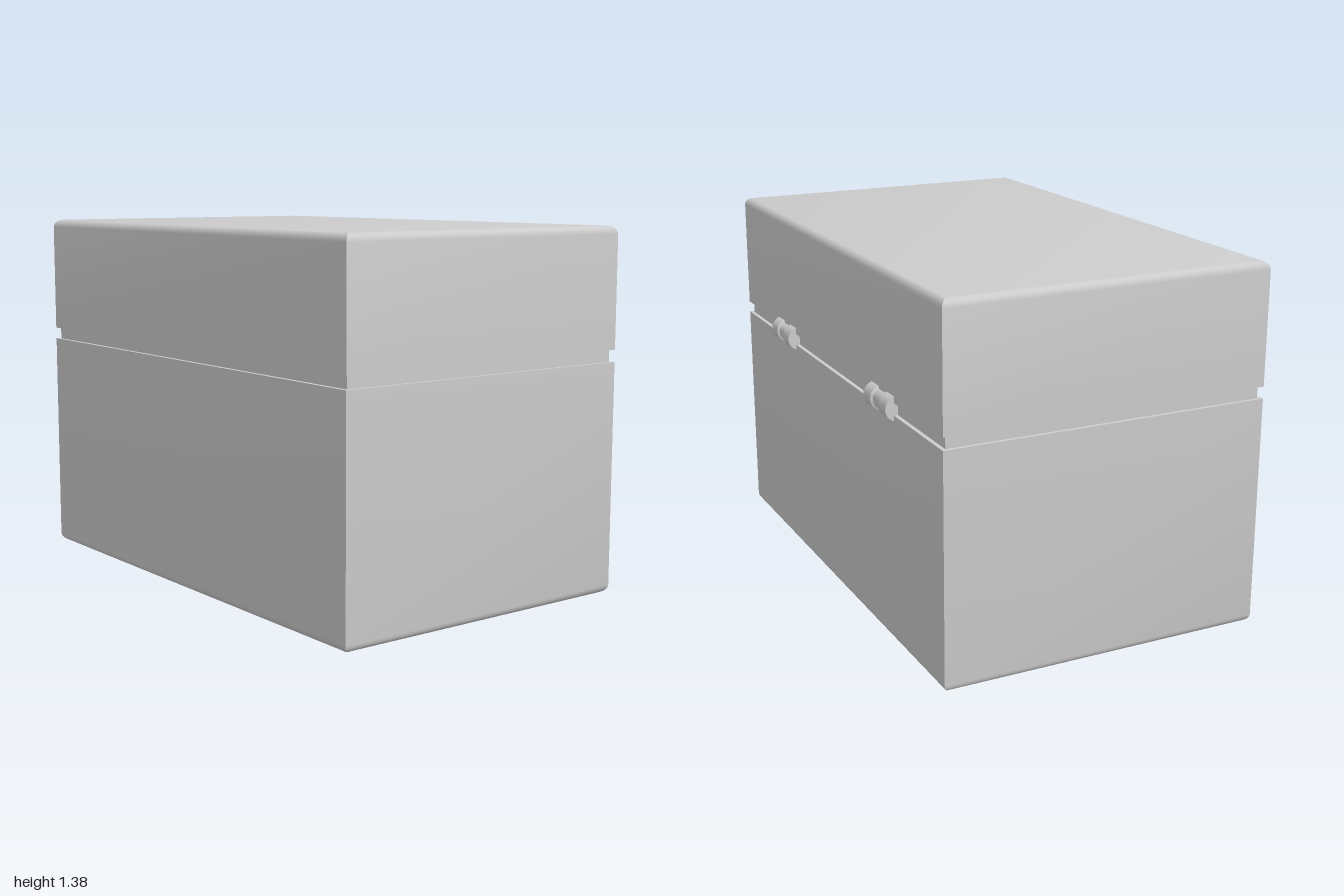
import * as THREE from 'three';
import { toCreasedNormals } from 'three/addons/utils/BufferGeometryUtils.js';

const W = 1.255, D = 2, CX = -0.0175, R = 0.03;

// Stack of rectangles with sharp vertical corners; profile = [inset, y] from bottom to top
function rectStack(profile) {
  const pos = [], idx = [];
  for (const [inset, y] of profile) {
    const x = W / 2 - inset, z = D / 2 - inset;
    pos.push(-x, y, z, x, y, z, x, y, -z, -x, y, -z);
  }
  for (let r = 0; r < profile.length - 1; r++) {
    for (let k = 0; k < 4; k++) {
      const a = r * 4 + k, b = r * 4 + (k + 1) % 4;
      idx.push(a, b, b + 4, a, b + 4, a + 4);
    }
  }
  const t = (profile.length - 1) * 4;
  idx.push(0, 2, 1, 0, 3, 2, t, t + 1, t + 2, t, t + 2, t + 3);
  const geo = new THREE.BufferGeometry();
  geo.setAttribute('position', new THREE.Float32BufferAttribute(pos, 3));
  geo.setIndex(idx);
  return toCreasedNormals(geo, Math.PI / 6);
}

// Quarter-round edge running from the flat face to the wall
function roundedEdge(steps = 4) {
  return Array.from({ length: steps + 1 }, (_, i) => {
    const a = (i / steps) * Math.PI / 2;
    return [R * (1 - Math.sin(a)), R * (1 - Math.cos(a))];
  });
}

export function createModel() {
  const group = new THREE.Group();
  const mat = new THREE.MeshStandardMaterial({ color: 0xcccccc });
  const add = (name, geo, parent = group) => {
    const mesh = new THREE.Mesh(geo, mat);
    mesh.name = name;
    parent.add(mesh);
    return mesh;
  };

  // Box body, recessed rim between the halves, and lid
  const edge = roundedEdge();
  const topEdge = edge.map(([i, y]) => [i, 1.375 - y]).reverse();
  add('body', rectStack([...edge, [0, 0.875]])).position.x = CX;
  add('innerRim', rectStack([[0.015, 0.86], [0.015, 0.935]])).position.x = CX;
  add('lid', rectStack([[0, 0.92], ...topEdge])).position.x = CX;

  // Two hinges: wide knuckles at the ends, a thinner one in the middle
  const ro = 0.047, ri = 0.038;
  const profile = [
    [0, -0.1], [ro, -0.1], [ro, -0.037], [ri, -0.033],
    [ri, 0.033], [ro, 0.037], [ro, 0.1], [0, 0.1],
  ].map(([r, y]) => new THREE.Vector2(r, y));
  const hingeGeo = toCreasedNormals(new THREE.LatheGeometry(profile, 24).rotateX(Math.PI / 2), Math.PI / 6);
  for (const side of [1, -1]) {
    const hinge = add(side > 0 ? 'frontHinge' : 'backHinge', hingeGeo);
    hinge.position.set(0.596, 0.9, side * 0.5);
  }
  return group;
}
